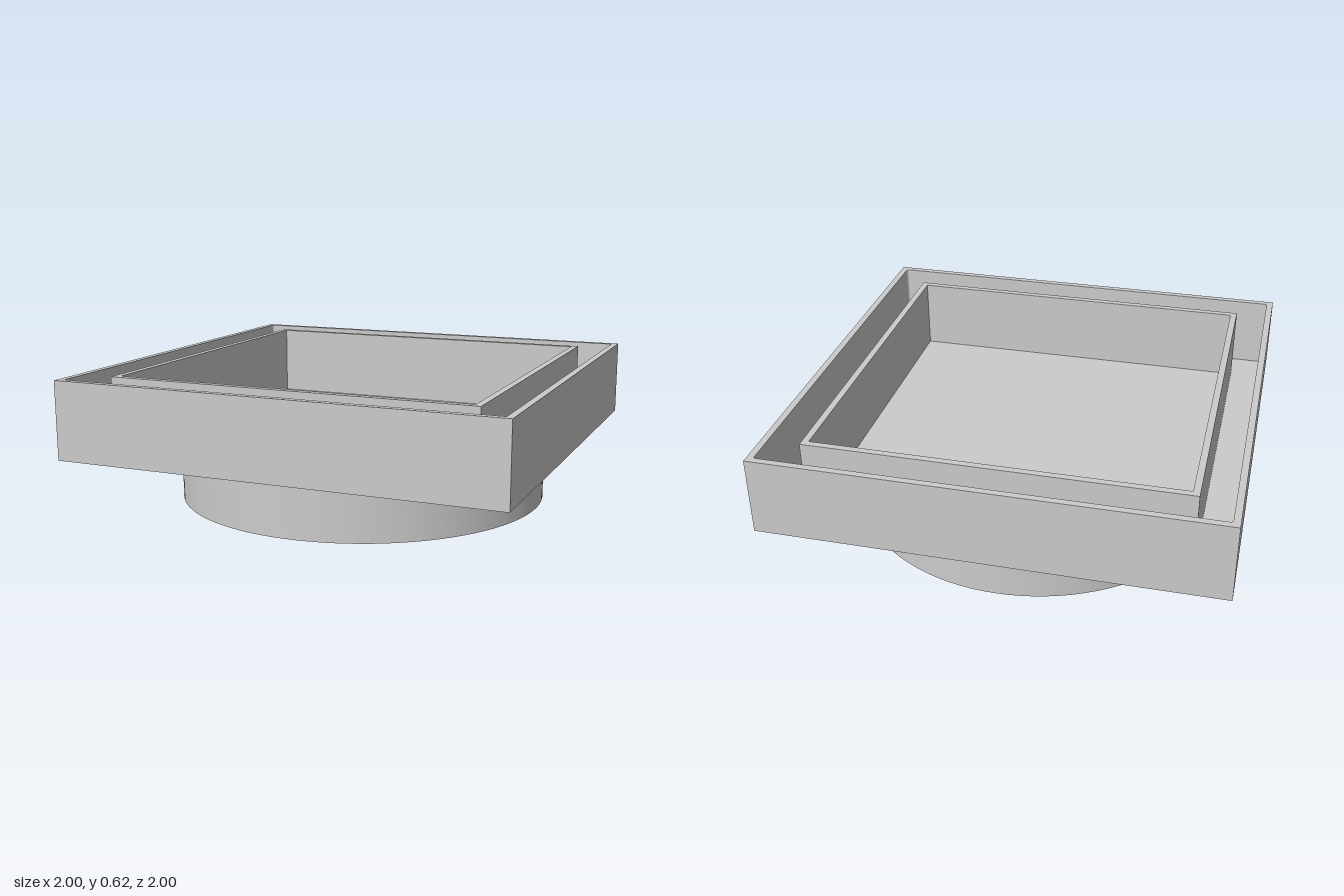
import * as THREE from 'three';
import { toCreasedNormals } from 'three/addons/utils/BufferGeometryUtils.js';

const WALL = 0.03;        // thickness of every upright wall
const BASE = 0.27;        // underside of the tray
const FLOOR = 0.288;      // top of the tray floor
const TOP = 0.62;         // rim height

// Square outline of half-width h with optional corner radius r
function square(h, r = 0, path = new THREE.Shape()) {
  if (!r) {
    path.moveTo(-h, -h).lineTo(h, -h).lineTo(h, h).lineTo(-h, h).closePath();
    return path;
  }
  const c = h - r;
  path.absarc(c, c, r, 0, Math.PI / 2);
  path.absarc(-c, c, r, Math.PI / 2, Math.PI);
  path.absarc(-c, -c, r, Math.PI, Math.PI * 1.5);
  path.absarc(c, -c, r, Math.PI * 1.5, Math.PI * 2);
  path.closePath();
  return path;
}

function circle(r, path = new THREE.Shape()) {
  path.absarc(0, 0, r, 0, Math.PI * 2);
  return path;
}

export function createModel() {
  const group = new THREE.Group();
  const material = new THREE.MeshStandardMaterial({ color: 0xcccccc });

  // Upright hollow wall: outline minus hole, raised from y0 to y1
  function addWall(name, outline, hole, y0, y1, curveSegments) {
    outline.holes.push(hole);
    let geo = new THREE.ExtrudeGeometry(outline, { depth: y1 - y0, bevelEnabled: false, curveSegments });
    geo.rotateX(-Math.PI / 2).translate(0, y0, 0);
    geo = toCreasedNormals(geo, 0.5);
    const mesh = new THREE.Mesh(geo, material);
    mesh.name = name;
    group.add(mesh);
  }

  // Square tray: outer wall with slightly rounded inner corners, and inner frame
  addWall('outerWall', square(1), square(1 - WALL, 0.01, new THREE.Path()), BASE, TOP, 6);
  addWall('innerFrame', square(0.83), square(0.83 - WALL, 0, new THREE.Path()), FLOOR, TOP, 1);

  // Thin floor closing the tray
  const floor = new THREE.Mesh(new THREE.BoxGeometry(2 - 2 * WALL, FLOOR - BASE, 2 - 2 * WALL), material);
  floor.position.y = (BASE + FLOOR) / 2;
  floor.name = 'trayFloor';
  group.add(floor);

  // Round collar below, open at the bottom
  addWall('roundCollar', circle(0.85), circle(0.85 - WALL, new THREE.Path()), 0, BASE, 48);

  return group;
}
